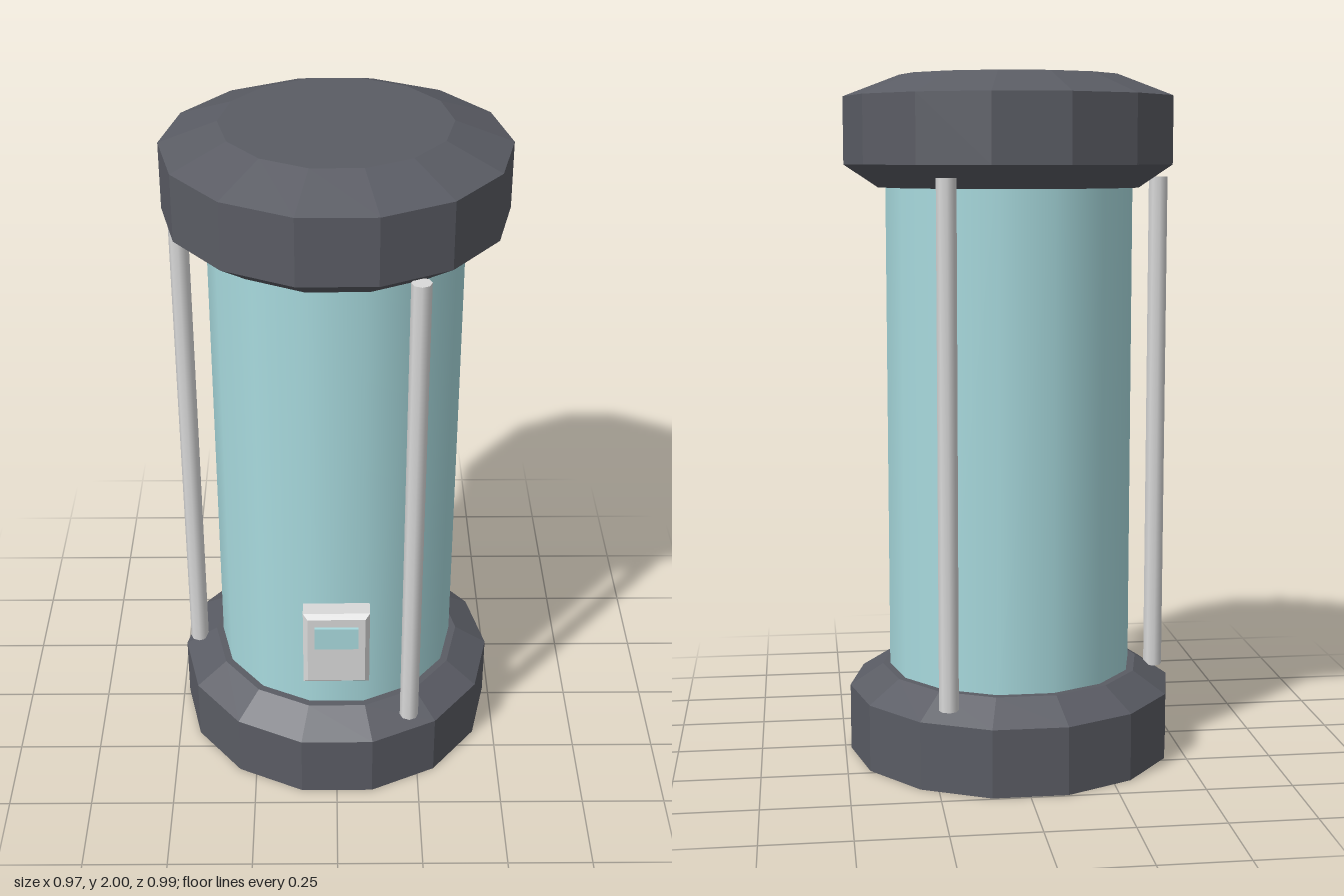
import * as THREE from 'three';

const SIDES = 14;
const CENTRE_Z = -0.024;

function material(name, color) {
  const m = new THREE.MeshStandardMaterial({ color });
  m.name = name;
  return m;
}

function addMesh(parent, name, geometry, mat, x = 0, y = 0, z = 0) {
  const mesh = new THREE.Mesh(geometry, mat);
  mesh.name = name;
  mesh.position.set(x, y, z);
  parent.add(mesh);
  return mesh;
}

// Faceted 14-sided cap turned from [radius, height] points, corners on the x axis
function capGeometry(profile) {
  const points = profile.map(([r, y]) => new THREE.Vector2(r, y));
  const faceted = new THREE.LatheGeometry(points, SIDES, Math.PI / 2).toNonIndexed();
  faceted.computeVertexNormals();
  return faceted;
}

// Box with a single chamfer on every edge
function chamferBox(w, h, d, c) {
  const x = w / 2 - c, y = h / 2 - c;
  const shape = new THREE.Shape();
  shape.moveTo(-x, -y);
  shape.lineTo(x, -y);
  shape.lineTo(x, y);
  shape.lineTo(-x, y);
  shape.closePath();
  const geometry = new THREE.ExtrudeGeometry(shape, {
    depth: d - 2 * c, bevelEnabled: true, bevelThickness: c, bevelSize: c, bevelSegments: 1,
  });
  return geometry.translate(0, 0, c - d / 2);
}

export function createModel() {
  const darkMetal = material('dark metal', 0x5a5c64);
  const glass = material('pale blue glass', 0xa8dade);
  const lightMetal = material('light metal', 0xd9d9d9);

  const model = new THREE.Group();
  model.name = 'capsuleTank';

  const tank = new THREE.Group();
  tank.name = 'tank';
  tank.position.z = CENTRE_Z;
  model.add(tank);

  // End caps
  addMesh(tank, 'baseCap', capGeometry([
    [0, 0], [0.483, 0], [0.483, 0.197], [0.385, 0.26], [0, 0.26],
  ]), darkMetal);
  addMesh(tank, 'topCap', capGeometry([
    [0, 1.68], [0.385, 1.68], [0.483, 1.745], [0.483, 1.938], [0.32, 2], [0, 2],
  ]), darkMetal);

  // Smooth glass tube between the caps
  const tube = new THREE.CylinderGeometry(0.363, 0.363, 1.46, SIDES, 1, true, Math.PI / 2);
  addMesh(tank, 'glassTube', tube, glass, 0, 0.97, 0);

  // Three support rods spaced evenly round the tube
  const rod = new THREE.CylinderGeometry(0.028, 0.028, 1.48, 8);
  for (let i = 0; i < 3; i++) {
    const a = Math.PI / 3 + (i * Math.PI * 2) / 3;
    addMesh(tank, 'supportRod', rod, lightMetal, 0.44 * Math.cos(a), 0.97, 0.44 * Math.sin(a));
  }

  // Control box on the front with a small screen
  const control = new THREE.Group();
  control.name = 'controlBox';
  control.position.set(-0.002, 0.583, 0.443);
  model.add(control);
  addMesh(control, 'controlCase', chamferBox(0.192, 0.25, 0.074, 0.013), lightMetal);
  addMesh(control, 'controlScreen', new THREE.BoxGeometry(0.126, 0.073, 0.0095), glass, 0, 0.05, 0.0425);

  return model;
}
